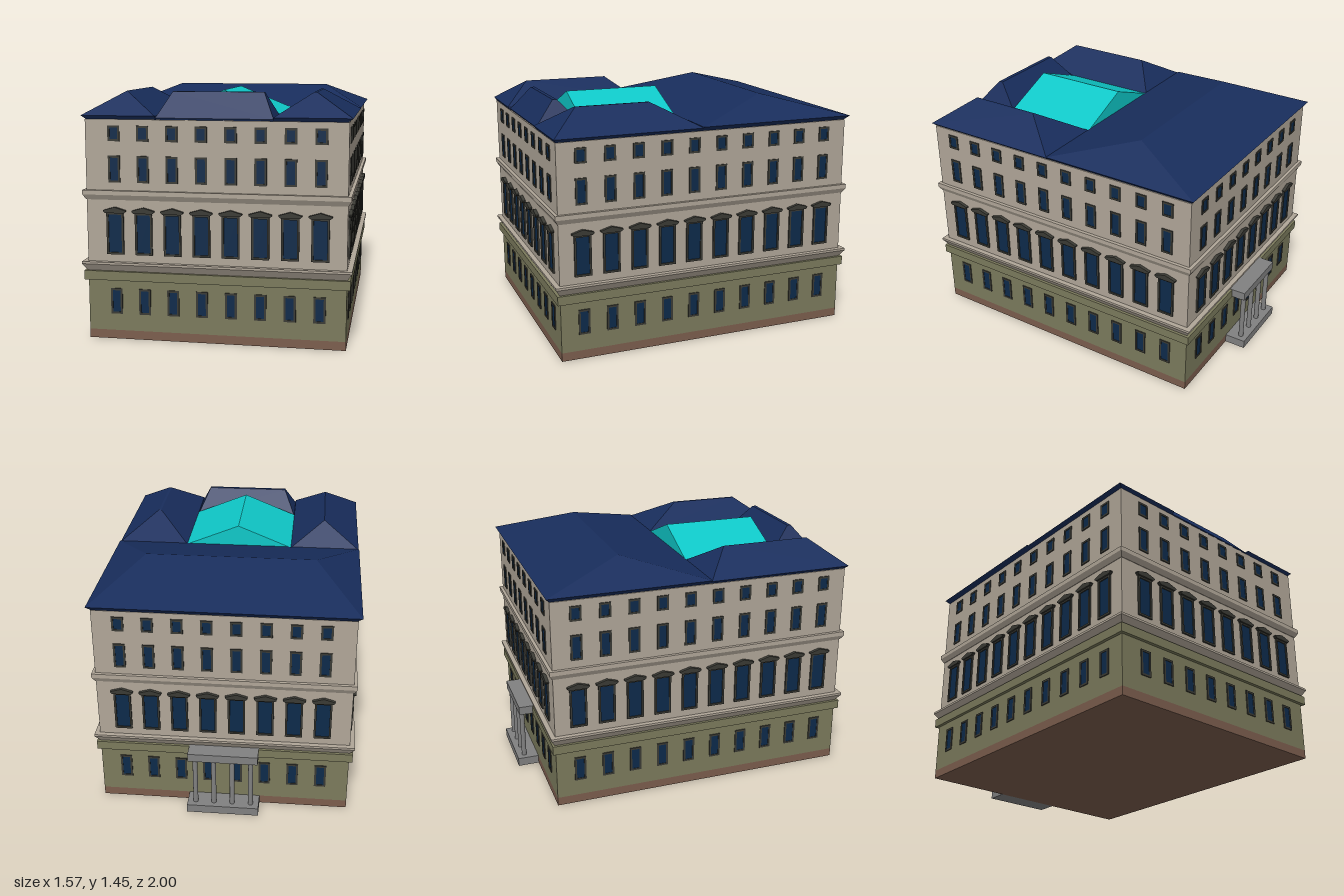
import * as THREE from 'three';
import { ConvexGeometry } from 'three/addons/geometries/ConvexGeometry.js';

const mat = (color) => new THREE.MeshStandardMaterial({ color, flatShading: true });
const M = {
  brick: mat(0x7b5d4d), olive: mat(0x7b7a5c), stone: mat(0xb0a698), frame: mat(0x3a3a34),
  pane: mat(0x0d2a4a), roof: mat(0x182d5c), glass: mat(0x0ec8c8), grey: mat(0x808080),
};

// Wall outline
const X = 0.755, ZB = -0.87, ZF = 0.965;

function add(parent, name, geometry, material, x = 0, y = 0, z = 0) {
  const mesh = new THREE.Mesh(geometry, material);
  mesh.name = name;
  mesh.position.set(x, y, z);
  parent.add(mesh);
  return mesh;
}

// Convex solid through horizontal rectangles [x0, x1, z0, z1, y]
function stack(parent, name, material, rects) {
  const pts = [];
  for (const [x0, x1, z0, z1, y] of rects)
    for (const x of new Set([x0, x1]))
      for (const z of new Set([z0, z1])) pts.push(new THREE.Vector3(x, y, z));
  return add(parent, name, new ConvexGeometry(pts), material);
}

// Wall outline grown by d, at height y
const ring = (d, y) => [-X - d, X + d, ZB - d, ZF + d, y];

// Window kinds: bottom, top, width, projection, pediment
const ROWS = [
  { name: 'groundWindow', y0: 0.153, y1: 0.306, w: 0.07, d: 0.006 },
  { name: 'mainWindow', y0: 0.51, y1: 0.757, w: 0.102, d: 0.01, pediment: true },
  { name: 'upperWindow', y0: 0.932, y1: 1.087, w: 0.07, d: 0.006 },
  { name: 'atticWindow', y0: 1.17, y1: 1.26, w: 0.07, d: 0.006 },
];

function rectPath(P, w, h) {
  const p = new P();
  p.moveTo(-w / 2, -h / 2);
  p.lineTo(w / 2, -h / 2);
  p.lineTo(w / 2, h / 2);
  p.lineTo(-w / 2, h / 2);
  p.closePath();
  return p;
}

const extrude = (shape, depth) => new THREE.ExtrudeGeometry(shape, { depth, bevelEnabled: false });

// Shared geometries for each window kind
function windowParts({ y0, y1, w, d, pediment }) {
  const h = y1 - y0, t = 0.012;
  const outer = rectPath(THREE.Shape, w, h);
  outer.holes.push(rectPath(THREE.Path, w - 2 * t, h - 2 * t));
  const parts = {
    frame: extrude(outer, d),
    pane: new THREE.BoxGeometry(w - 2 * t, h - 2 * t, 0.006),
  };
  if (pediment) {
    const s = new THREE.Shape([[-0.055, -0.002], [0.055, -0.002], [0.066, 0.007], [0.066, 0.014],
      [0, 0.033], [-0.066, 0.014], [-0.066, 0.007]].map(([x, y]) => new THREE.Vector2(x, y)));
    parts.pediment = extrude(s, 0.02);
  }
  return parts;
}

// One wall of windows, centred on its own origin and facing +z
function facade(name, count, first, step) {
  const wall = new THREE.Group();
  wall.name = name;
  for (const row of ROWS) {
    const parts = windowParts(row);
    for (let i = 0; i < count; i++) {
      const win = new THREE.Group();
      win.name = row.name;
      win.position.set(first + i * step, (row.y0 + row.y1) / 2, 0);
      add(win, 'windowFrame', parts.frame, M.frame);
      add(win, 'windowPane', parts.pane, M.pane);
      if (parts.pediment) add(win, 'pediment', parts.pediment, M.frame, 0, (row.y1 - row.y0) / 2, 0);
      wall.add(win);
    }
  }
  return wall;
}

export function createModel() {
  const model = new THREE.Group();
  model.name = 'palace';

  // Walls and horizontal mouldings
  stack(model, 'plinth', M.brick, [ring(0, 0), ring(0, 0.052)]);
  stack(model, 'groundFloor', M.olive, [ring(0, 0.052), ring(0, 0.41)]);
  stack(model, 'groundBand', M.olive, [ring(0.02, 0.356), ring(0.02, 0.41)]);
  stack(model, 'upperFloors', M.stone, [ring(0, 0.41), ring(0, 1.295)]);
  stack(model, 'lowerCornice', M.stone, [ring(0.003, 0.41), ring(0.03, 0.452), ring(0.03, 0.465)]);
  stack(model, 'upperCornice', M.stone, [ring(0.003, 0.83), ring(0.02, 0.86), ring(0.02, 0.886)]);

  // Windows on all four walls
  const front = facade('frontWindows', 8, -0.586, 0.17);
  front.position.z = ZF;
  const back = facade('backWindows', 8, -0.603, 0.17);
  back.position.z = ZB;
  back.rotation.y = Math.PI;
  model.add(front, back);
  const left = facade('leftWindows', 10, -0.825, 0.1722);
  left.position.x = X;
  left.rotation.y = Math.PI / 2;
  const right = facade('rightWindows', 10, -0.725, 0.1722);
  right.position.x = -X;
  right.rotation.y = -Math.PI / 2;
  model.add(left, right);

  // Hipped roofs: sloping soffit, eave, ridge
  const TOP = 1.45;
  stack(model, 'backRoof', M.roof, [
    [-0.745, 0.745, -0.865, 0.085, 1.292], [-0.778, 0.778, -0.892, 0.088, 1.322], [-0.51, 0.51, -0.4, -0.4, TOP]]);
  stack(model, 'rightWingRoof', M.roof, [
    [-0.745, -0.335, 0.085, 0.96, 1.292], [-0.775, -0.34, 0.085, 0.978, 1.316], [-0.55, -0.55, 0.25, 0.8, TOP]]);
  stack(model, 'leftWingRoof', M.roof, [
    [0.745, 0.33, 0.085, 0.96, 1.292], [0.775, 0.335, 0.085, 0.978, 1.316], [0.543, 0.558, 0.34, 0.79, TOP]]);
  stack(model, 'frontRoof', M.roof, [
    [-0.335, 0.33, 0.68, 0.955, 1.292], [-0.34, 0.335, 0.68, 0.962, 1.305], [-0.265, 0.265, 0.815, 0.84, TOP]]);

  // Glazed gable over the courtyard
  stack(model, 'courtyardSkylight', M.glass, [
    [-0.34, 0.335, 0.087, 0.68, 1.316], [0, 0, 0.087, 0.68, TOP + 0.003]]);

  // Rear porch
  const porch = new THREE.Group();
  porch.name = 'porch';
  stack(porch, 'porchStep', M.grey, [[-0.22, 0.215, -1, ZB, 0], [-0.22, 0.215, -1, ZB, 0.052]]);
  stack(porch, 'porchRoof', M.grey, [[-0.213, 0.208, -0.976, ZB, 0.36], [-0.213, 0.208, -0.976, ZB, 0.412]]);
  const column = new THREE.CylinderGeometry(0.015, 0.015, 0.31, 16);
  for (let i = 0; i < 4; i++)
    add(porch, 'porchColumn', column, M.grey, -0.17 + i * 0.112, 0.206, -0.953);
  model.add(porch);

  return model;
}
